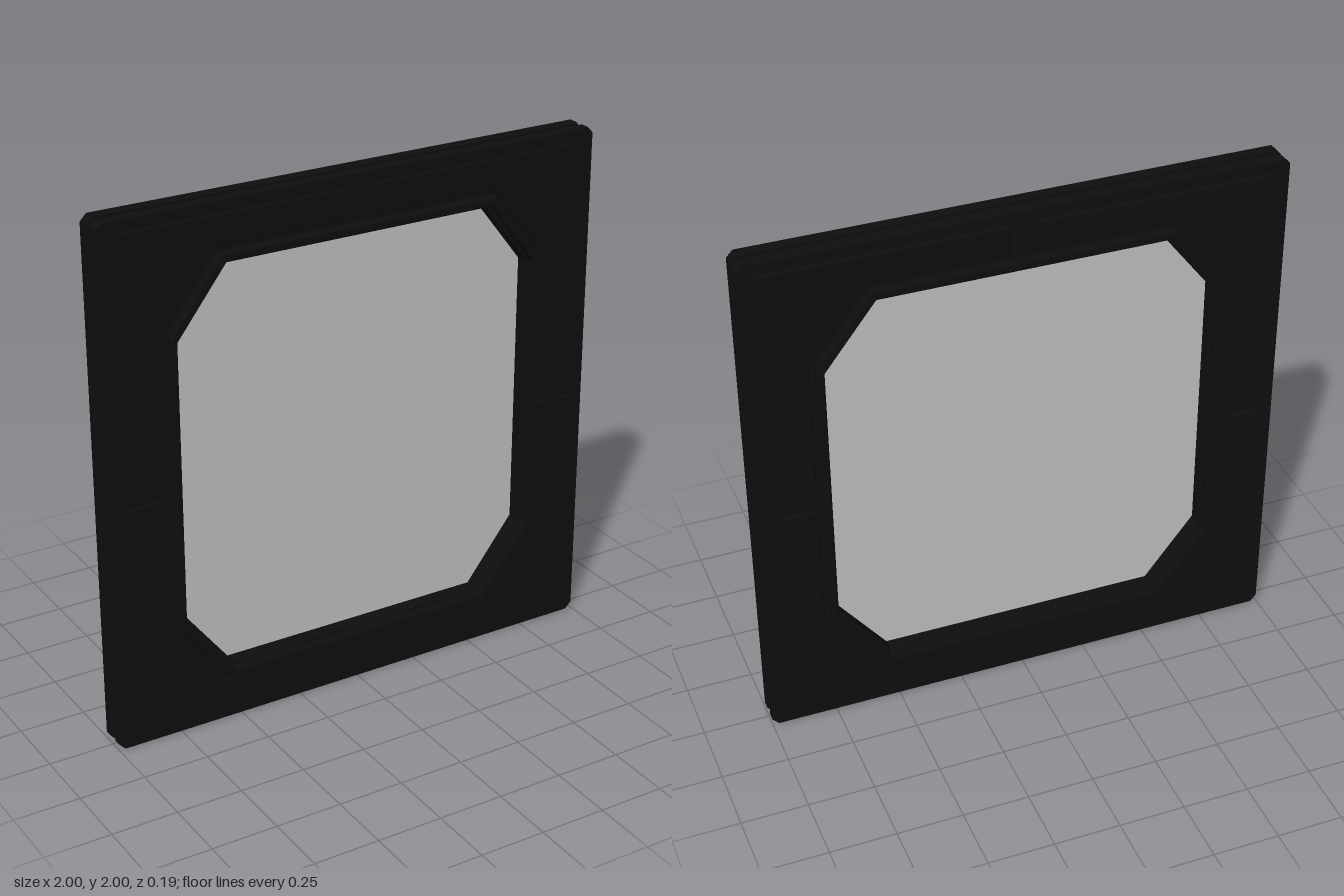
import * as THREE from 'three';

const black = new THREE.MeshStandardMaterial({ color: 0x0e0e0e });
black.name = 'black frame';
const grey = new THREE.MeshStandardMaterial({ color: 0xc0c0c0 });
grey.name = 'grey pane';

// Rectangle of half sizes w, h with its corners cut by cx, cy
function cutRect(w, h, cx, cy) {
  return [
    [w, h - cy], [w - cx, h], [-w + cx, h], [-w, h - cy],
    [-w, -h + cy], [-w + cx, -h], [w - cx, -h], [w, -h + cy],
  ].map(([x, y]) => new THREE.Vector2(x, y));
}

// Slab centred on z, with an optional hole and bevelled edges
function slab(name, outline, hole, z, depth, bevel, material = black) {
  const shape = new THREE.Shape(outline);
  if (hole) shape.holes.push(new THREE.Path(hole));
  const geometry = new THREE.ExtrudeGeometry(shape, {
    depth: depth - 2 * bevel,
    bevelEnabled: bevel > 0,
    bevelThickness: bevel,
    bevelSize: bevel,
    bevelOffset: -bevel,
    bevelSegments: 1,
  });
  geometry.translate(0, 0, z - depth / 2 + bevel);
  const mesh = new THREE.Mesh(geometry, material);
  mesh.name = name;
  return mesh;
}

export function createModel() {
  const group = new THREE.Group();
  group.name = 'windowPanel';
  const body = new THREE.Group();
  body.position.y = 1;
  group.add(body);

  const opening = cutRect(0.72, 0.775, 0.19, 0.245);

  // Core, set back to leave a groove around the outer edge
  body.add(slab('frameCore', cutRect(0.985, 0.985, 0.02, 0.02), opening, 0, 0.04, 0));

  for (const side of [1, -1]) {
    // Square frame face
    body.add(slab('frameFace', cutRect(1, 1, 0.025, 0.025), opening, side * 0.035, 0.04, 0.004));

    // Raised octagonal rim
    body.add(slab('windowRim', cutRect(0.757, 0.82, 0.205, 0.265),
      cutRect(0.731, 0.787, 0.193, 0.25), side * 0.071, 0.042, 0.004));

    // Small joints at the rim's eight corners
    for (const p of cutRect(0.744, 0.804, 0.199, 0.257)) {
      const joint = new THREE.Mesh(new THREE.CylinderGeometry(0.012, 0.012, 0.035, 8), black);
      joint.name = 'rimJoint';
      joint.rotation.x = Math.PI / 2;
      joint.position.set(p.x, p.y, side * 0.078);
      body.add(joint);
    }

    // Raised plate in each corner of the frame
    for (const sx of [1, -1]) {
      for (const sy of [1, -1]) {
        const outline = [
          [0.05, 0.95], [0.94, 0.95], [0.95, 0.94], [0.95, 0.05],
          [0.775, 0.05], [0.775, 0.56], [0.56, 0.835], [0.05, 0.835],
        ].map(([x, y]) => new THREE.Vector2(x * sx, y * sy));
        body.add(slab('cornerPlate', outline, null, side * 0.055, 0.012, 0.004));
      }
    }
  }

  // Window pane
  body.add(slab('windowPane', cutRect(0.725, 0.78, 0.19, 0.245), null, 0, 0.008, 0, grey));

  return group;
}
